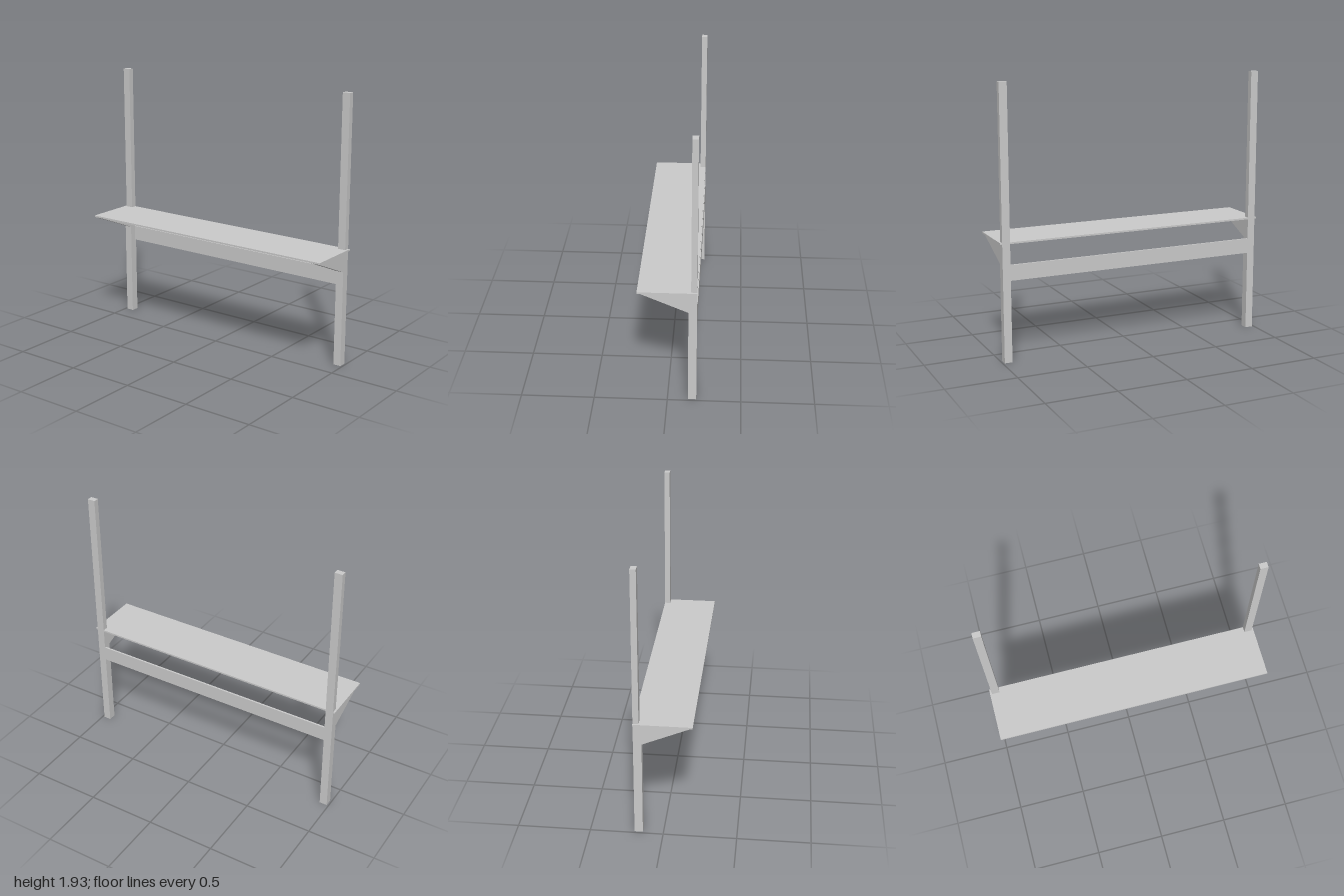
import * as THREE from 'three';

const BACK = -0.197, FRONT = 0.197;
const SHELF_BOTTOM = 0.836, SHELF_TOP = 0.848;
const POST_IN = 0.93, POST_OUT = 0.986, LEG_FRONT = -0.14;

export function createModel() {
  const model = new THREE.Group();
  model.name = 'shelfTable';
  const material = new THREE.MeshStandardMaterial({ color: 0xcccccc, flatShading: true });

  const add = (name, geometry) => {
    const mesh = new THREE.Mesh(geometry, material);
    mesh.name = name;
    model.add(mesh);
    return mesh;
  };
  // Box given by its lower and upper bounds
  const box = (name, x0, x1, y0, y1, z0, z1) =>
    add(name, new THREE.BoxGeometry(x1 - x0, y1 - y0, z1 - z0))
      .position.set((x0 + x1) / 2, (y0 + y1) / 2, (z0 + z1) / 2);

  // Thin table top and the rail flush with the back of the legs
  box('tableTop', -1, 1, SHELF_BOTTOM, SHELF_TOP, BACK, FRONT);
  box('backRail', -POST_IN, POST_IN, 0.58, 0.69, BACK, BACK + 0.013);

  // Side profile of the bracket, drawn as (-z, y)
  const profile = new THREE.Shape([
    new THREE.Vector2(-FRONT, SHELF_BOTTOM),
    new THREE.Vector2(-LEG_FRONT, 0.693),
    new THREE.Vector2(-LEG_FRONT, SHELF_BOTTOM),
  ]);

  for (const [side, label] of [[1, 'left'], [-1, 'right']]) {
    const x0 = side > 0 ? POST_IN : -POST_OUT;
    const x1 = side > 0 ? POST_OUT : -POST_IN;
    box(label + 'Leg', x0, x1, 0, SHELF_BOTTOM, BACK, LEG_FRONT);
    box(label + 'UpperPost', x0, x1, SHELF_TOP, 1.93, BACK, -0.157);

    // Wedge bracket as wide as the leg
    const wedge = new THREE.ExtrudeGeometry(profile, { depth: x1 - x0, bevelEnabled: false });
    wedge.rotateY(Math.PI / 2);
    add(label + 'Bracket', wedge).position.x = x0;
  }
  return model;
}
